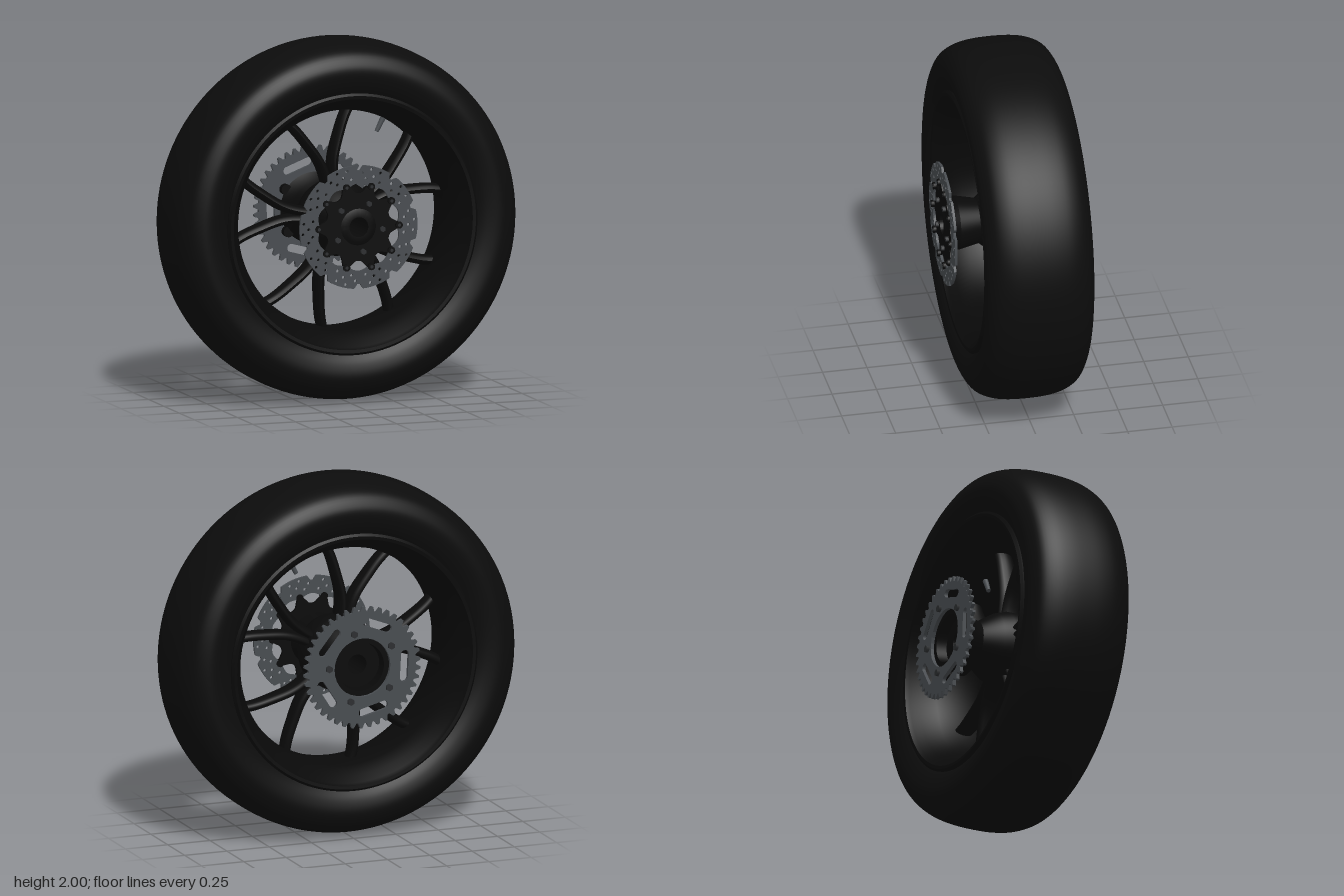
import * as THREE from 'three';
import { toCreasedNormals } from 'three/addons/utils/BufferGeometryUtils.js';

const mat = (name, color) => {
  const m = new THREE.MeshStandardMaterial({ color });
  m.name = name;
  return m;
};
const TAU = Math.PI * 2;
const ZC = 0.012; // middle plane of the tyre

export function createModel() {
  const rubber = mat('rubber black', 0x0c0c0c);
  const black = mat('painted black', 0x090909);
  const steel = mat('dark steel', 0x484c50);
  const boltGrey = mat('bolt grey', 0x2c2e30);

  const wheel = new THREE.Group();
  wheel.name = 'wheel';
  wheel.position.y = 1; // axle along z

  const add = (name, geo, material, x = 0, y = 0, z = 0) => {
    const m = new THREE.Mesh(geo, material);
    m.name = name;
    m.position.set(x, y, z);
    wheel.add(m);
    return m;
  };
  // Revolve [radius, z] points around the axle
  const revolve = (pts, segs, crease) => {
    const g = new THREE.LatheGeometry(pts.map(p => new THREE.Vector2(p[0], p[1])), segs).rotateX(Math.PI / 2);
    return crease ? toCreasedNormals(g, crease) : g;
  };
  const mirrored = half => [...half.map(([r, z]) => [r, -z]), ...[...half].reverse()];
  // Closed outline from a radius rule
  const polar = (n, radius, cls = THREE.Shape) => new cls(Array.from({ length: n }, (_, i) => {
    const a = i / n * TAU, r = radius(i, a);
    return new THREE.Vector2(Math.cos(a) * r, Math.sin(a) * r);
  }));
  const circleHole = (x, y, r) => new THREE.Path().absarc(x, y, r, 0, TAU, true);
  const plate = (shape, depth, curveSegments = 8) =>
    new THREE.ExtrudeGeometry(shape, { depth, bevelEnabled: false, curveSegments });
  const ring = (n, start, r, fn) => {
    for (let i = 0; i < n; i++) {
      const a = start + i / n * TAU;
      fn(Math.cos(a) * r, Math.sin(a) * r, a, i);
    }
  };
  const stud = (name, x, y, z, r, h, sides, material) =>
    add(name, new THREE.CylinderGeometry(r, r, h, sides).rotateX(Math.PI / 2), material, x, y, z);

  // Tyre: rounded section, smoothed by a spline
  const tyreHalf = [[0.69, 0.235], [0.735, 0.268], [0.78, 0.29], [0.84, 0.302], [0.89, 0.293],
    [0.945, 0.255], [0.98, 0.185], [0.996, 0.1]];
  const section = mirrored(tyreHalf);
  section.splice(tyreHalf.length, 0, [1, 0]);
  const tyreCurve = new THREE.SplineCurve(section.map(p => new THREE.Vector2(...p)));
  add('tyre', revolve(tyreCurve.getPoints(64).map(p => [p.x, p.y]), 128), rubber, 0, 0, ZC);

  // Rim: lips and deep barrel
  const rimInner = [[0.725, 0.25], [0.728, 0.272], [0.715, 0.284], [0.697, 0.282], [0.686, 0.26],
    [0.655, 0.22], [0.618, 0.13], [0.605, 0.05]];
  const rimProfile = [[0.725, -0.25], ...rimInner, ...[...rimInner].reverse().map(([r, z]) => [r, -z])];
  add('rim', revolve(rimProfile, 128, 0.6), black, 0, 0, ZC);

  // Hub: bored spindle, sprocket carrier at the back, disc seat at the front
  add('hub', revolve([[0.055, -0.3], [0.13, -0.3], [0.135, -0.36], [0.175, -0.36], [0.2, -0.335],
    [0.15, -0.28], [0.125, -0.2], [0.19, -0.1], [0.21, -0.04], [0.21, 0.05], [0.19, 0.11], [0.125, 0.19],
    [0.15, 0.305], [0.112, 0.372], [0.085, 0.385], [0.055, 0.385], [0.055, -0.3]], 64, 0.5), black);

  // Spokes: five pairs that part in a curve towards the rim
  ring(5, THREE.MathUtils.degToRad(29), 1, (cx, cy, angle) => {
    for (const side of [-1, 1]) {
      const path = new THREE.CatmullRomCurve3([[0.13, 0.02], [0.24, 0.024], [0.33, 0.042], [0.45, 0.097],
        [0.54, 0.147], [0.61, 0.2]].map(([x, y]) => new THREE.Vector3(x, y * side, 0)));
      const g = new THREE.TubeGeometry(path, 28, 0.028, 14);
      const p = g.attributes.position;
      // Deeper along the axle near the hub
      for (let i = 0; i < p.count; i++) p.setZ(i, p.getZ(i) * (2.9 - 1.9 * p.getX(i)));
      g.computeVertexNormals();
      add('spoke', g, black, 0, 0, ZC).rotation.z = angle;
    }
  });

  // Brake disc: notched outer edge, drilled band
  const disc = polar(240, (i) => {
    const k = Math.abs((i % 24) - 12);
    return k < 2 ? 0.316 : k < 3 ? 0.33 : 0.343;
  });
  disc.holes.push(polar(120, (i, a) => 0.236 + 0.008 * Math.cos(a * 10 + Math.PI), THREE.Path));
  ring(10, 0, 1, (x, y, a) => {
    [[-0.16, 0.268], [-0.1, 0.32], [0, 0.29], [0.08, 0.325], [0.16, 0.27], [0.25, 0.3]].forEach(([da, r]) =>
      disc.holes.push(circleHole(Math.cos(a + da) * r, Math.sin(a + da) * r, 0.009)));
  });
  add('brakeDisc', plate(disc, 0.014, 5), steel, 0, 0, 0.368);

  // Disc carrier: ten lobes reaching the floating bobbins
  const carrier = polar(160, (i, a) => 0.188 + 0.054 * Math.pow(0.5 + 0.5 * Math.cos(a * 10), 1.6));
  carrier.holes.push(circleHole(0, 0, 0.08));
  add('discCarrier', plate(carrier, 0.018), black, 0, 0, 0.359);
  ring(10, 0, 0.234, (x, y) => {
    stud('discBobbin', x, y, 0.376, 0.02, 0.034, 16, black);
    stud('bobbinCap', x, y, 0.391, 0.009, 0.008, 12, boltGrey);
  });
  ring(5, 1.13, 0.14, (x, y) => stud('discBolt', x, y, 0.384, 0.016, 0.02, 6, boltGrey));

  // Rear sprocket: teeth, open centre and five straight slots
  const sprocket = polar(42 * 4, i => (i % 4 < 2 ? 0.317 : 0.344));
  sprocket.holes.push(circleHole(0, 0, 0.165));
  const boltStart = THREE.MathUtils.degToRad(75);
  ring(5, boltStart + Math.PI / 5, 0.248, (cx, cy, a) => {
    const half = 0.065, r = 0.023, tx = -Math.sin(a), ty = Math.cos(a);
    const slot = new THREE.Path();
    slot.absarc(cx + tx * half, cy + ty * half, r, a, a + Math.PI, false);
    slot.absarc(cx - tx * half, cy - ty * half, r, a + Math.PI, a + TAU, false);
    slot.closePath();
    sprocket.holes.push(slot);
  });
  add('sprocket', plate(sprocket, 0.02, 16), steel, 0, 0, -0.38);
  ring(5, boltStart, 0.2, (x, y) => {
    stud('sprocketBolt', x, y, -0.374, 0.02, 0.044, 6, boltGrey);
    stud('sprocketBoss', x, y, -0.34, 0.03, 0.036, 16, black);
  });

  // Valve stem pointing inwards from the rim
  const va = THREE.MathUtils.degToRad(63);
  const valve = add('valveStem', new THREE.CylinderGeometry(0.017, 0.012, 0.11, 14), steel,
    Math.cos(va) * 0.575, Math.sin(va) * 0.575, ZC);
  valve.rotation.z = va - Math.PI / 2;

  const model = new THREE.Group();
  model.name = 'motorcycleWheel';
  model.add(wheel);
  return model;
}
